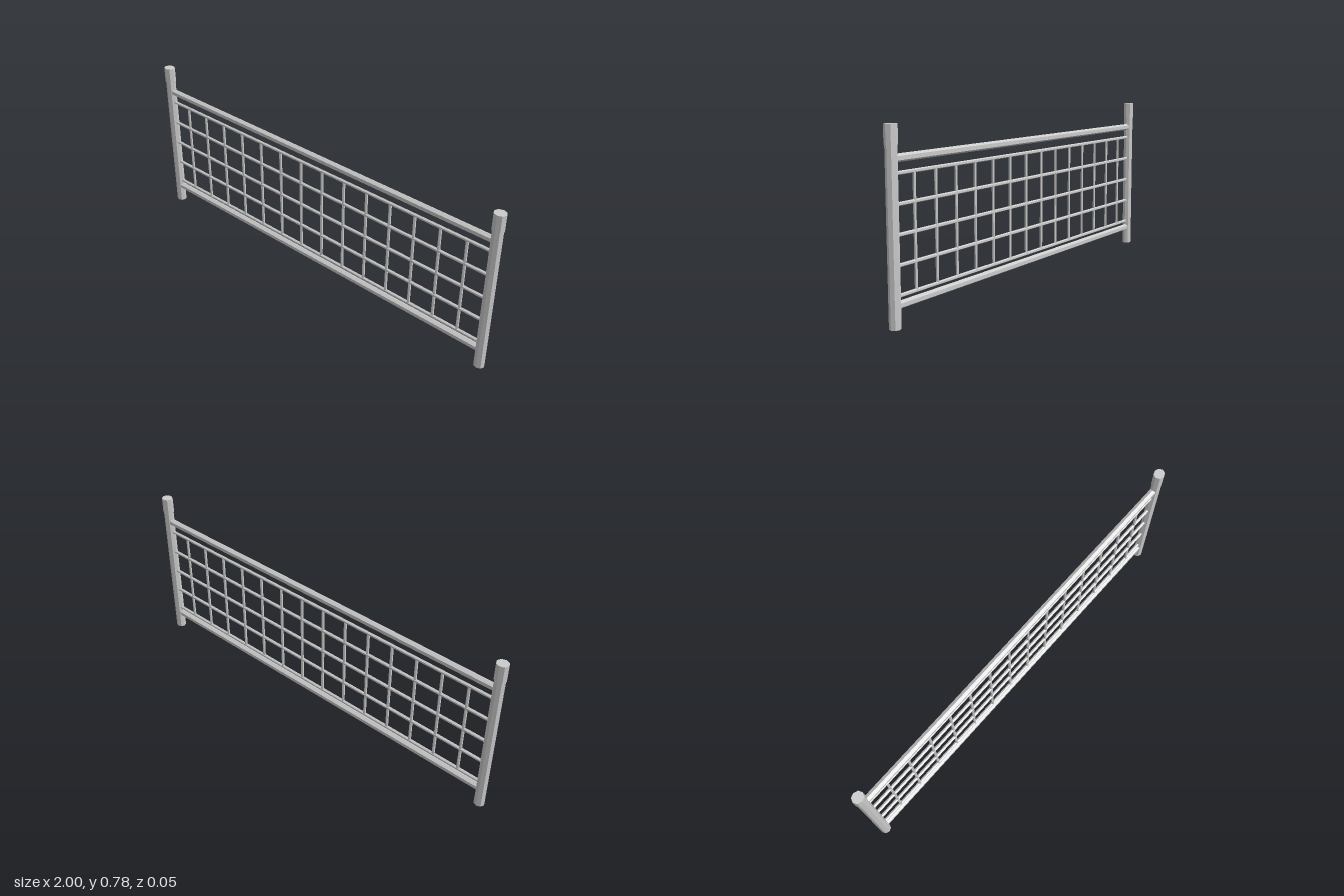
import * as THREE from 'three';

const POST_X = 0.972;

export function createModel() {
  const model = new THREE.Group();
  model.name = 'railing';
  const material = new THREE.MeshStandardMaterial({ color: 0xcccccc, flatShading: true });

  // Upright tube between two heights
  function upright(name, radius, sides, x, y0, y1, parent = model) {
    const mesh = new THREE.Mesh(new THREE.CylinderGeometry(radius, radius, y1 - y0, sides), material);
    mesh.name = name;
    mesh.position.set(x, (y0 + y1) / 2, 0);
    parent.add(mesh);
    return mesh;
  }

  // Horizontal six-sided tube from post to post, one edge on top
  function crossbar(name, radius, y, parent = model) {
    const geometry = new THREE.CylinderGeometry(radius, radius, 2 * POST_X, 6);
    geometry.rotateY(Math.PI / 2).rotateZ(Math.PI / 2);
    const mesh = new THREE.Mesh(geometry, material);
    mesh.name = name;
    mesh.position.y = y;
    parent.add(mesh);
  }

  // End posts with slightly wider caps, a little broader in x than in z
  for (const [side, x] of [['left', POST_X], ['right', -POST_X]]) {
    upright(side + 'Post', 0.0232, 8, x, 0, 0.705).scale.x = 1.08;
    upright(side + 'PostCap', 0.0255, 8, x, 0.702, 0.78).scale.x = 1.1;
  }

  // Main rails
  crossbar('topRail', 0.0165, 0.65);
  crossbar('bottomRail', 0.0165, 0.089);

  // Grid infill of thin rods
  const grid = new THREE.Group();
  grid.name = 'gridInfill';
  model.add(grid);
  const low = 0.124, high = 0.593;
  for (let i = 0; i < 5; i++) crossbar('gridCrossbar', 0.008, low + ((high - low) * i) / 4, grid);
  for (let i = 0; i < 14; i++) upright('gridUpright', 0.0068, 6, (i - 6.5) * 0.13, low, high, grid);

  return model;
}
